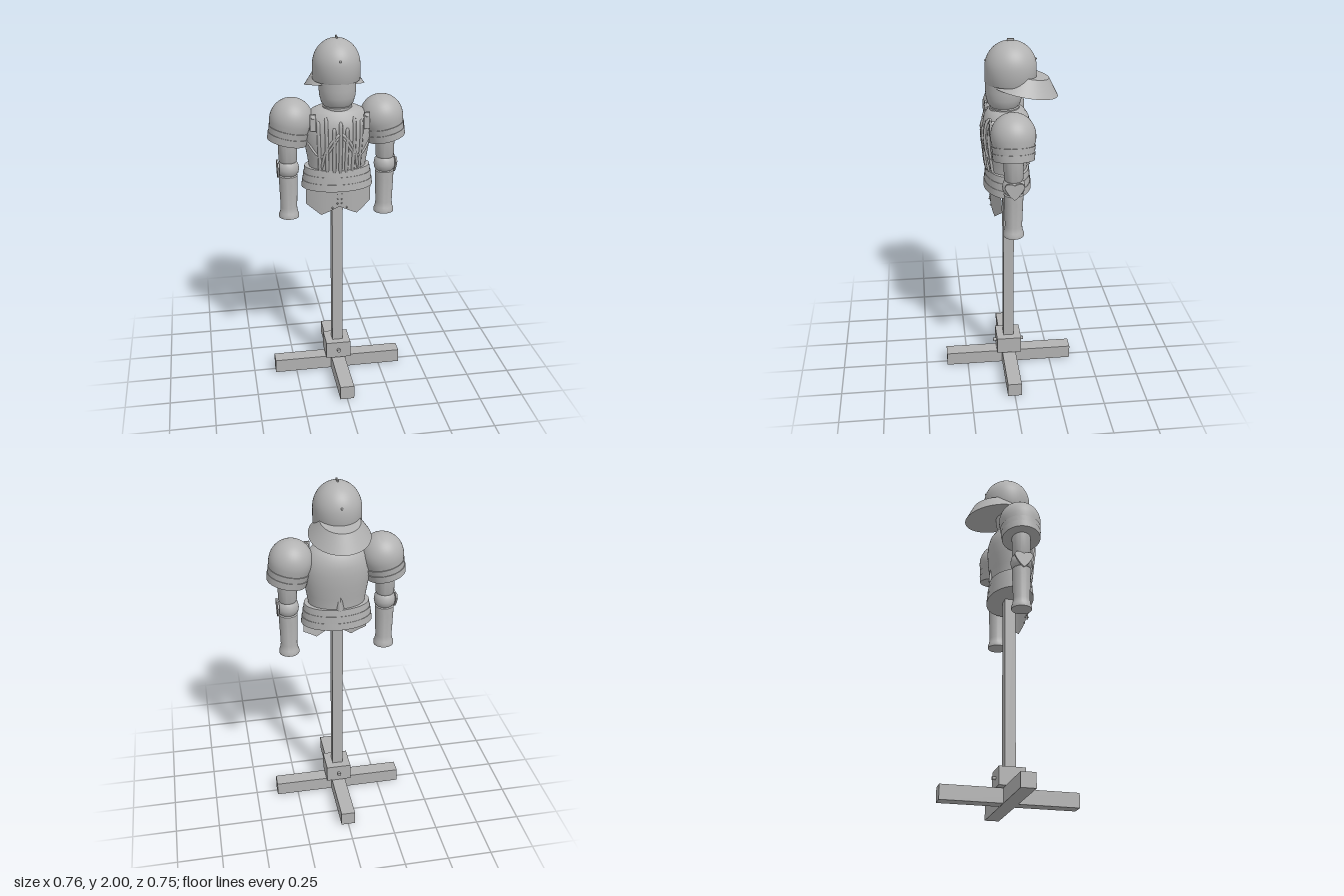
import * as THREE from 'three';
import { toCreasedNormals } from 'three/addons/utils/BufferGeometryUtils.js';

export function createModel() {
  const model = new THREE.Group();
  model.name = 'armourOnStand';
  const grey = new THREE.MeshStandardMaterial({ color: 0xb2b2b2, side: THREE.DoubleSide });
  grey.name = 'plainGrey';

  const add = (name, geo, x = 0, y = 0, z = 0, parent = model) => {
    const m = new THREE.Mesh(geo, grey);
    m.name = name;
    m.position.set(x, y, z);
    parent.add(m);
    return m;
  };
  const box = (w, h, d) => new THREE.BoxGeometry(w, h, d);
  // turned form from [radius, height] pairs listed bottom to top
  const turn = (pts, seg = 40, crease = 0.6) =>
    toCreasedNormals(new THREE.LatheGeometry(pts.map(p => new THREE.Vector2(...p)), seg), crease);
  const dome = (r, y0, h, n = 12) =>
    Array.from({ length: n + 1 }, (_, i) => {
      const a = (i / n) * Math.PI / 2;
      return [Math.max(0, r * Math.cos(a)), y0 + h * Math.sin(a)];
    });

  // ---- wooden stand ----
  add('baseBeamAcross', box(0.75, 0.08, 0.08), 0, 0.04, 0);
  add('baseBeamFrontBack', box(0.08, 0.08, 0.75), 0, 0.041, 0);
  add('postSocket', box(0.144, 0.1, 0.144), 0, 0.138, 0);
  add('post', box(0.06, 1.14, 0.06), 0, 0.65, 0);
  const bolt = new THREE.CylinderGeometry(0.009, 0.009, 0.175, 12).rotateX(Math.PI / 2);
  add('socketBolt', bolt, 0, 0.14, 0);
  for (const s of [1, -1]) {
    add('boltHead', new THREE.CylinderGeometry(0.011, 0.011, 0.012, 6).rotateX(Math.PI / 2), 0, 0.14, s * 0.085);
  }

  // ---- torso ----
  const body = [[0.155, 1.26], [0.156, 1.3], [0.166, 1.36], [0.179, 1.43], [0.185, 1.5],
    [0.18, 1.545], [0.165, 1.585], [0.138, 1.615], [0.105, 1.63], [0, 1.632]];
  const squash = 0.72, midZ = 0.01;
  add('breastplate', turn(body, 48, 0.9), 0, 0, midZ).scale.z = squash;
  add('collar', turn([[0.076, 1.615], [0.08, 1.625], [0.08, 1.637], [0.072, 1.645], [0, 1.645]]), 0, 0, 0.02);

  // height of the chest surface in front of a point
  const chestZ = (x, y) => {
    let i = 0;
    while (i < body.length - 2 && body[i + 1][1] < y) i++;
    const [r0, y0] = body[i], [r1, y1] = body[i + 1];
    const r = r0 + (r1 - r0) * (y - y0) / (y1 - y0);
    return midZ + squash * Math.sqrt(Math.max(0.0001, r * r - x * x));
  };
  // bar laid over the chest, its ends sunk into the plate
  const chestBar = (name, path, r, sides) => {
    const pts = path.map(([x, y], i) =>
      new THREE.Vector3(x, y, chestZ(x, y) + (i === 0 || i === path.length - 1 ? -0.015 : 0)));
    add(name, new THREE.TubeGeometry(new THREE.CatmullRomCurve3(pts), 28, r, sides));
  };
  const rib = (x, top) => chestBar('chestRib',
    [[x * 0.9, 1.27], [x * 0.92, 1.3], [x * 0.96, 1.4], [x, 1.5], [x, top - 0.01], [x, top]], 0.01, 6);
  rib(0, 1.57);
  for (const s of [1, -1]) {
    rib(s * 0.035, 1.54);
    rib(s * 0.075, 1.59);
    rib(s * 0.115, 1.57);
    chestBar('innerCord', [[0, 1.51], [s * 0.012, 1.505], [s * 0.05, 1.46], [s * 0.08, 1.4], [s * 0.095, 1.33], [s * 0.1, 1.28]], 0.008, 8);
    chestBar('outerCord', [[s * 0.165, 1.45], [s * 0.155, 1.43], [s * 0.12, 1.385], [s * 0.09, 1.38], [s * 0.05, 1.43], [s * 0.02, 1.48], [0, 1.49]], 0.007, 8);

    // shoulder strap ending in a small plate
    const strap = new THREE.CylinderGeometry(0.01, 0.018, 0.09, 8);
    add('strap', strap, s * 0.145, 1.585, 0.075).rotation.x = 1.2;
    add('strapPlate', box(0.032, 0.09, 0.012), s * 0.145, 1.57, 0.108);
  }
  add('backSpike', new THREE.ConeGeometry(0.022, 0.11, 4), 0, 1.35, -0.108).scale.z = 0.6;

  // ---- waistband of three lames ----
  const band = [[0, 1.18], [0.198, 1.18], [0.194, 1.22], [0.191, 1.22], [0.188, 1.26],
    [0.185, 1.26], [0.18, 1.298], [0.15, 1.3], [0, 1.3]];
  add('waistband', turn(band, 48, 0.5), 0, 0, 0.006).scale.z = 0.66;

  // ---- front skirt plates ----
  for (const s of [1, -1]) {
    const g = new THREE.PlaneGeometry(1, 1, 9, 2);
    const p = g.attributes.position;
    for (let i = 0; i < p.count; i++) {
      const x = (p.getX(i) + 0.5) * 0.18;
      const low = x < 0.1 ? 1.08 - 0.5 * x : 1.03 + 0.75 * (x - 0.1);
      const t = p.getY(i) + 0.5;
      p.setXYZ(i, s * x, low + (1.19 - low) * t, 0.1 - 0.05 * (x / 0.18) ** 2 + 0.008 * t);
    }
    if (s < 0) g.index.array.reverse();
    g.computeVertexNormals();
    add('skirtPlate', g);
    for (const [x, y] of [[0.012, 1.155], [0.012, 1.125], [0.012, 1.1], [0.04, 1.075]]) {
      add('skirtStud', new THREE.SphereGeometry(0.005, 8, 6), s * x, y, 0.102);
    }
  }

  // ---- neck, helmet and neck guard ----
  const neck = [[0, 1.633], [0.07, 1.635], [0.086, 1.655], [0.096, 1.69], [0.1, 1.73], [0.1, 1.79]];
  add('faceGuard', turn(neck, 36, 0.9), 0, 0, 0.022);
  const bowl = [[0, 1.77], [0.125, 1.77], [0.128, 1.775], ...dome(0.128, 1.85, 0.14, 16)];
  add('helmetBowl', turn(bowl, 48), 0, 0, -0.013).scale.z = 1.07;
  add('helmetCrest', box(0.008, 0.02, 0.036), 0, 1.99, -0.013);
  for (const z of [0.119, -0.145]) {
    add('helmetRivet', new THREE.SphereGeometry(0.006, 10, 8), 0, 1.89, z);
  }
  const guard = new THREE.CylinderGeometry(0.105, 0.163, 0.085, 48);
  guard.translate(0, 0.0425, 0).scale(1, 1, 1.14);
  add('neckGuard', guard, 0, 1.728, -0.083).rotation.x = -0.2;

  // ---- arms ----
  const heart = new THREE.Shape();
  heart.moveTo(0, -0.052);
  heart.quadraticCurveTo(0.03, -0.03, 0.053, 0.02);
  heart.quadraticCurveTo(0.045, 0.055, 0, 0.032);
  heart.quadraticCurveTo(-0.045, 0.055, -0.053, 0.02);
  heart.quadraticCurveTo(-0.03, -0.03, 0, -0.052);
  const heartGeo = new THREE.ExtrudeGeometry(heart, { depth: 0.01, bevelEnabled: false, curveSegments: 8 })
    .translate(0, 0, -0.005).rotateY(Math.PI / 2);

  const shoulder = [[0.045, -0.12], [0.108, -0.125], [0.113, -0.085], [0.109, -0.085], [0.115, -0.05],
    [0.11, -0.05], [0.117, -0.02], ...dome(0.118, 0, 0.12)];
  const arm = [[0, 1.0], [0.056, 1.0], [0.056, 1.018], [0.05, 1.03], [0.046, 1.06], [0.051, 1.2], [0.052, 1.245],
    [0.046, 1.25], [0.056, 1.262], [0.06, 1.285], [0.056, 1.312], [0.046, 1.325], [0.051, 1.335], [0.053, 1.46]];
  for (const s of [1, -1]) {
    const side = new THREE.Group();
    side.name = s > 0 ? 'leftArm' : 'rightArm';
    model.add(side);
    add('shoulderGuard', turn(shoulder), s * 0.247, 1.562, 0, side).rotation.z = s * 0.21;
    add('armPlates', turn(arm, 32), s * 0.27, 0, 0, side);
    add('elbowHeart', heartGeo, s * 0.326, 1.285, 0, side);
    add('elbowHub', new THREE.CylinderGeometry(0.02, 0.02, 0.02, 12).rotateZ(Math.PI / 2), s * 0.318, 1.285, 0, side);
  }
  return model;
}
